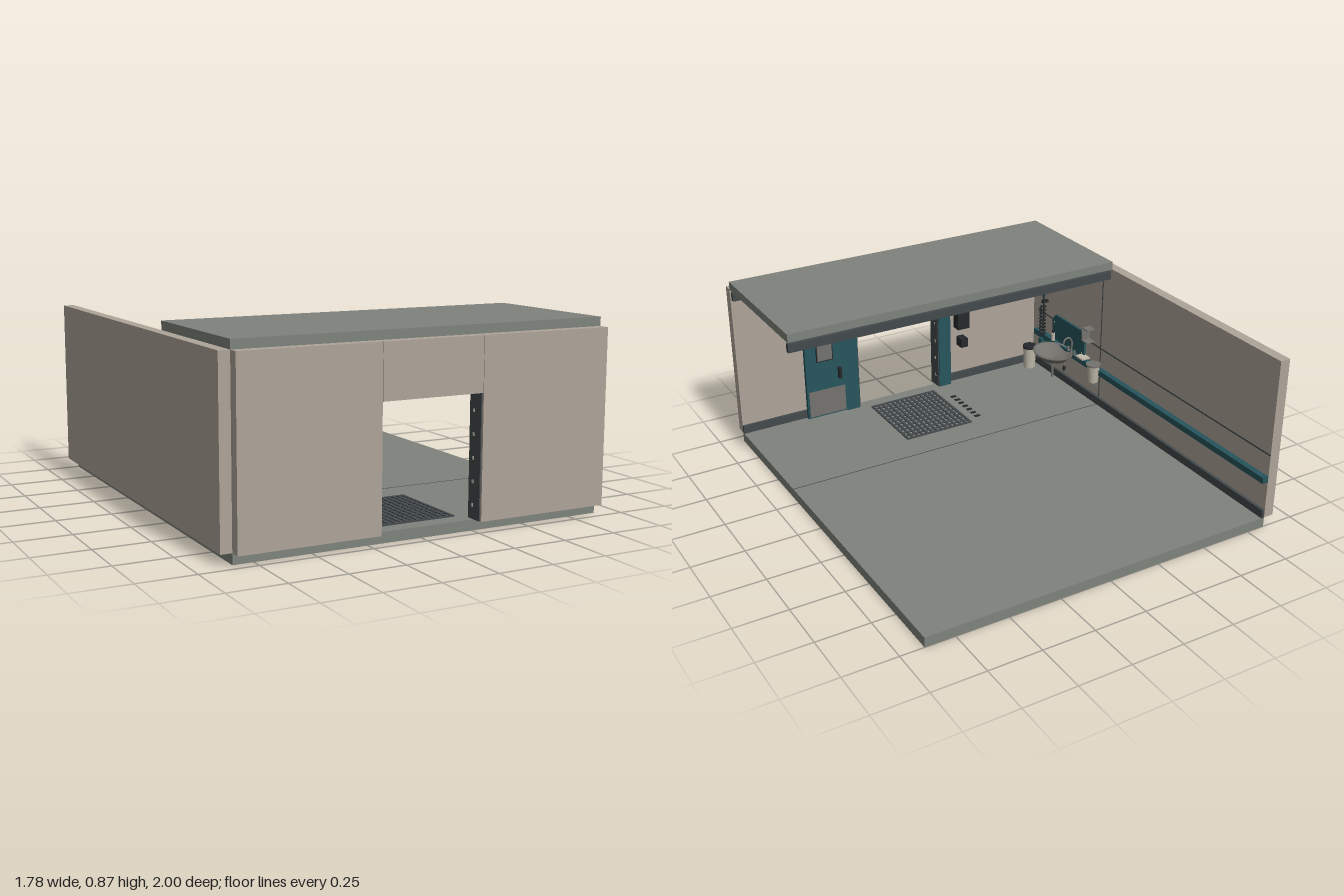
import * as THREE from 'three';

export function createModel() {
  const root = new THREE.Group();
  const mat = (name, color, side = THREE.FrontSide) => {
    const m = new THREE.MeshStandardMaterial({ color, side });
    m.name = name;
    return m;
  };
  const beige = mat('warm beige', 0xaea599), grey = mat('concrete grey', 0x7f837c);
  const teal = mat('deep teal', 0x27545d), slate = mat('dark slate', 0x444a4c);
  const metal = mat('brushed metal', 0x74736e, THREE.DoubleSide);
  const black = mat('near black', 0x26292b), cream = mat('pale cream', 0xc0b8a9);

  const add = (name, geo, m, x = 0, y = 0, z = 0, parent = root) => {
    const mesh = new THREE.Mesh(geo, m);
    mesh.name = name;
    mesh.position.set(x, y, z);
    parent.add(mesh);
    return mesh;
  };
  // box given by its limits on each axis
  const box = (name, m, x0, x1, y0, y1, z0, z1, parent = root) =>
    add(name, new THREE.BoxGeometry(x1 - x0, y1 - y0, z1 - z0), m, (x0 + x1) / 2, (y0 + y1) / 2, (z0 + z1) / 2, parent);
  const rod = (name, m, r, x, y0, y1, z, r2 = r) =>
    add(name, new THREE.CylinderGeometry(r2, r, y1 - y0, 16), m, x, (y0 + y1) / 2, z);
  const tube = (name, m, pts, r, n = 24) =>
    add(name, new THREE.TubeGeometry(new THREE.CatmullRomCurve3(pts.map(p => new THREE.Vector3(...p))), n, r, 8), m);

  // Shell: floor, side wall, front wall around the doorway, roof
  const X0 = -0.84, X1 = 0.89, F = 0.047, T = 0.825, Z = 0.95;
  box('floor', grey, X0, X1, 0, F, -1, Z);
  box('roof', grey, X0, X1, T, 0.865, 0.235, Z);
  box('sideWall', beige, -0.89, X0, F, T, -1, Z);
  box('frontWallRight', beige, X0, -0.215, F, T, Z, 1);
  box('frontWallLeft', beige, 0.26, X1, F, T, Z, 1);
  box('doorHeaderWall', beige, -0.213, 0.258, 0.588, T, Z, 1);

  // Roof beams
  for (const z of [0.925, 0.245]) box('roofBeam', slate, X0, 0.885, 0.77, 0.812, z, z + 0.024);

  // Skirting, wall rail and panel joints
  box('sideSkirting', slate, X0, -0.825, F, 0.088, -1, Z);
  box('frontSkirtingRight', slate, X0, -0.29, F, 0.088, 0.935, Z);
  box('frontSkirtingLeft', slate, 0.33, X1, F, 0.088, 0.935, Z);
  box('wallRail', teal, X0, -0.81, 0.23, 0.26, -1, 0.9);
  box('wallJointHorizontal', slate, X0, -0.837, 0.363, 0.37, -1, 0.9);
  box('wallJointVertical', slate, X0, -0.837, 0.088, T, 0.302, 0.307);
  box('floorJoint', slate, X0, X1, F, F + 0.001, 0.303, 0.307);

  // Door frame
  box('doorPostRight', teal, -0.285, -0.215, F, 0.59, 0.905, Z);
  box('doorPostLeft', teal, 0.26, 0.33, F, 0.59, 0.905, Z);
  box('doorLintel', teal, -0.285, 0.33, 0.59, 0.63, 0.91, Z);
  for (const x of [-0.215, 0.255]) {
    box('doorSeal', slate, x, x + 0.005, F, 0.588, 0.91, 0.99);
    for (let i = 0; i < 5; i++) box('sealStud', cream, x - 0.002, x + 0.007, 0.1 + i * 0.1, 0.115 + i * 0.1, 0.935, 0.945);
  }

  // Door leaf slid open, with window, kick plate and handle
  const door = new THREE.Group();
  door.name = 'slidingDoor';
  root.add(door);
  box('doorLeaf', teal, 0.33, 0.55, 0.052, 0.59, 0.905, 0.925, door);
  box('doorWindowFrame', black, 0.4, 0.49, 0.36, 0.495, 0.899, 0.905, door);
  box('doorWindow', metal, 0.405, 0.485, 0.366, 0.489, 0.897, 0.9, door);
  box('kickPlate', metal, 0.34, 0.54, 0.06, 0.2, 0.901, 0.905, door);
  box('doorHandle', black, 0.36, 0.375, 0.25, 0.31, 0.885, 0.905, door);

  // Slatted floor mat and drain
  box('matFrameFront', slate, -0.16, 0.21, F, 0.053, 0.865, 0.875);
  box('matFrameBack', slate, -0.16, 0.21, F, 0.053, 0.46, 0.47);
  for (let i = 0; i < 14; i++) {
    const x = -0.16 + i * 0.0275;
    box('matSlat', slate, x, x + 0.0125, F, 0.053, 0.46, 0.875);
  }
  for (let i = 1; i < 12; i++) box('matCrossBar', slate, -0.16, 0.21, F, 0.051, 0.46 + i * 0.034, 0.47 + i * 0.034);
  for (let i = 0; i < 7; i++) box('drainSlot', black, -0.235, -0.205, F, F + 0.002, 0.5 + i * 0.042, 0.52 + i * 0.042);

  // Splashback with clipped upper corners
  const panel = new THREE.Shape([[-0.745, 0.262], [-0.44, 0.262], [-0.44, 0.37], [-0.475, 0.405], [-0.715, 0.405], [-0.745, 0.37]]
    .map(p => new THREE.Vector2(...p)));
  const splash = add('splashback', new THREE.ExtrudeGeometry(panel, { depth: 0.012, bevelEnabled: false }), teal, X0);
  splash.rotation.y = Math.PI / 2;
  for (const z of [0.725, 0.46]) for (const y of [0.28, 0.36]) {
    add('splashbackScrew', new THREE.SphereGeometry(0.004, 8, 6), cream, -0.828, y, z);
  }

  // Wash basin
  const bowl = [[0.001, 0.208], [0.05, 0.211], [0.085, 0.225], [0.108, 0.246], [0.122, 0.256], [0.122, 0.263], [0.11, 0.26], [0.08, 0.232], [0.001, 0.22]];
  const basin = add('basin', new THREE.LatheGeometry(bowl.map(p => new THREE.Vector2(...p)), 40), metal, -0.735, 0, 0.593);
  basin.scale.x = 0.8;
  rod('drainPipe', metal, 0.006, -0.735, 0.11, 0.21, 0.595);
  for (const z of [0.65, 0.535]) {
    rod('supplyPipe', metal, 0.004, -0.77, 0.15, 0.23, z);
    rod('pipeValve', black, 0.007, -0.77, 0.165, 0.19, z);
  }
  tube('tapSpout', metal, [[-0.81, 0.26, 0.53], [-0.81, 0.33, 0.53], [-0.79, 0.35, 0.53], [-0.765, 0.34, 0.53], [-0.76, 0.32, 0.53]], 0.005);
  for (const z of [0.56, 0.5]) rod('tapHandle', metal, 0.006, -0.81, 0.255, 0.285, z);
  rod('soapBottle', cream, 0.01, -0.81, 0.262, 0.305, 0.708);
  rod('soapPump', black, 0.004, -0.81, 0.305, 0.325, 0.708);
  box('soapShelf', cream, X0, -0.79, 0.268, 0.277, 0.4, 0.46);

  // Paper holder and wall bin beside the basin
  box('holderTop', metal, X0, -0.79, 0.45, 0.455, 0.36, 0.41);
  box('holderBottom', metal, X0, -0.79, 0.38, 0.385, 0.36, 0.41);
  box('holderSide', metal, X0, -0.79, 0.38, 0.455, 0.407, 0.411);
  rod('wallBin', cream, 0.026, -0.795, 0.19, 0.285, 0.302, 0.034);
  rod('wallBinRim', metal, 0.039, -0.795, 0.283, 0.291, 0.302);
  for (const z of [0.35, 0.32]) box('wallHook', metal, X0, -0.825, 0.14, 0.156, z, z + 0.004);

  // Coiled hose on its wall rail
  rod('hoseRail', black, 0.004, -0.815, 0.2, 0.695, 0.815);
  for (const y of [0.58, 0.5]) {
    const ring = add('hoseRing', new THREE.TorusGeometry(0.018, 0.004, 8, 24), y > 0.55 ? metal : teal, -0.81, y, 0.815);
    ring.rotation.y = Math.PI / 2;
  }
  for (const y of [0.65, 0.54, 0.45]) box('railClip', black, X0, -0.805, y - 0.008, y + 0.008, 0.807, 0.823);
  const coil = [];
  for (let i = 0; i <= 72; i++) {
    const a = i * Math.PI / 4;
    coil.push([-0.81 + 0.014 * Math.cos(a), 0.25 + i * 0.0025, 0.815 + 0.014 * Math.sin(a)]);
  }
  tube('hoseCoil', black, coil, 0.005, 216);
  box('hoseBox', teal, X0, -0.795, 0.18, 0.235, 0.802, 0.828);

  // Waste bin and switches near the front wall
  rod('wasteBin', cream, 0.032, -0.76, 0.055, 0.17, 0.865, 0.036);
  rod('wasteBinLid', black, 0.038, -0.76, 0.17, 0.183, 0.865);
  box('controlPanel', black, -0.4, -0.33, 0.355, 0.49, 0.9, Z);
  box('switchBox', black, -0.385, -0.345, 0.25, 0.3, 0.895, Z);

  // Hanging lamp
  rod('lampRod', black, 0.0025, 0, 0.75, T, 0.647);
  box('lamp', slate, -0.3, 0.3, 0.735, 0.756, 0.625, 0.67);
  box('lampDiffuser', cream, -0.29, 0.29, 0.732, 0.735, 0.63, 0.665);

  return root;
}
